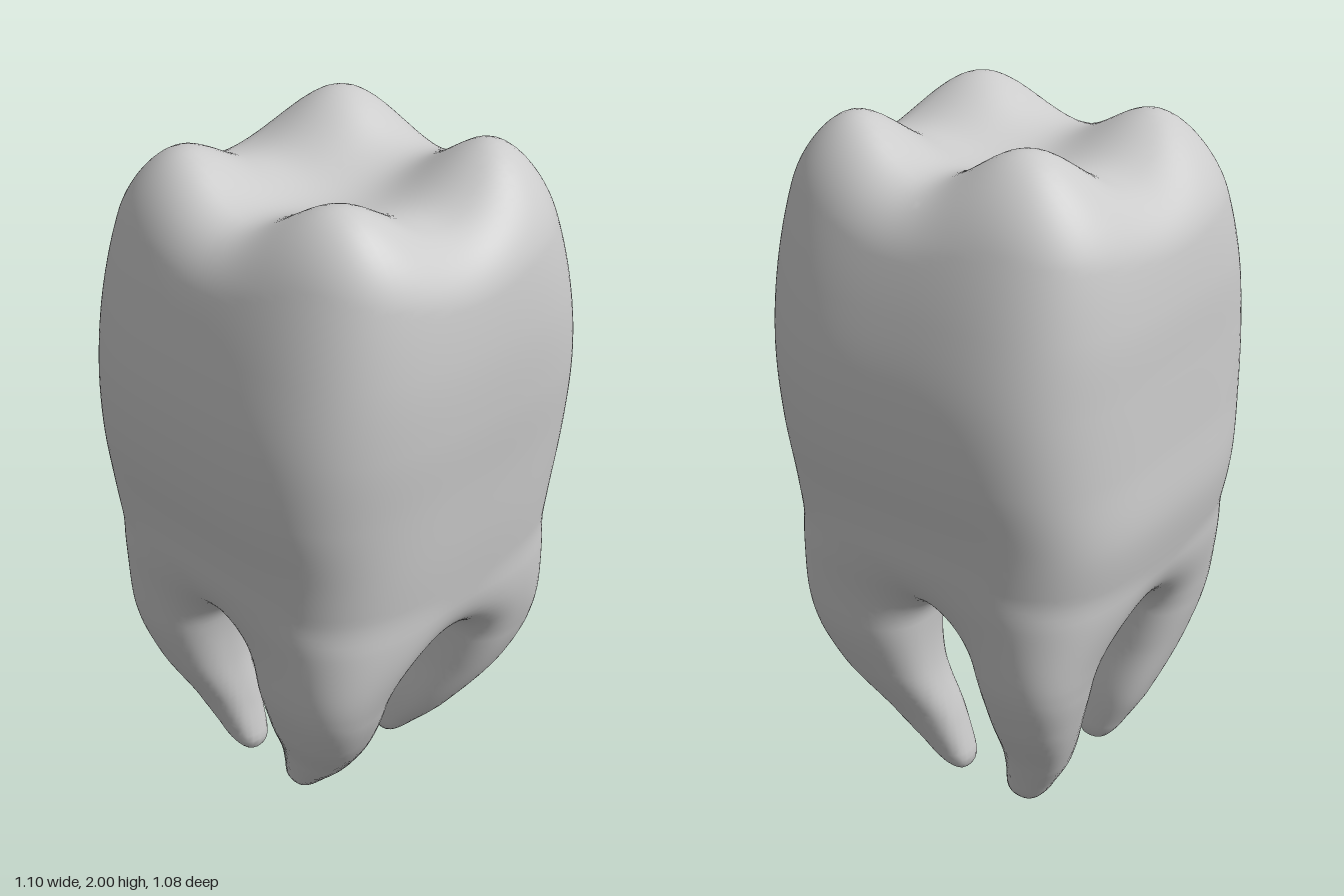
import * as THREE from 'three';

// Smooth curve through values spaced evenly by `step` from `start`
function profile(start, step, v) {
  const at = i => v[Math.min(Math.max(i, 0), v.length - 1)];
  return y => {
    const s = Math.min(Math.max((y - start) / step, 0), v.length - 1);
    const i = Math.floor(s), t = s - i;
    const [a, b, c, d] = [at(i - 1), at(i), at(i + 1), at(i + 2)];
    return b + 0.5 * t * (c - a + t * (2 * a - 5 * b + 4 * c - d + t * (3 * (b - c) + d - a)));
  };
}

const smin = (a, b, k) => {
  const h = Math.max(k - Math.abs(a - b), 0);
  return Math.min(a, b) - h * h / (4 * k);
};
const smax = (a, b, k) => -smin(-a, -b, k);

// Signed, distance-like value of a rounded-square section
const section = (x, z, a, b, n) =>
  ((Math.abs(x / a) ** n + Math.abs(z / b) ** n) ** (1 / n) - 1) * (a + b) / 2;

// Crown half-widths, from y = 0.6 upward
const crownX = profile(0.6, 0.2, [0.465, 0.495, 0.515, 0.545, 0.545, 0.51, 0.453, 0.375, 0.24]);
const crownFront = profile(0.6, 0.2, [0.465, 0.488, 0.51, 0.525, 0.54, 0.54, 0.515, 0.46, 0.34]);
const crownBack = profile(0.6, 0.2, [0.465, 0.505, 0.54, 0.535, 0.53, 0.523, 0.49, 0.42, 0.3]);

// Four cusps: x, z, height
const cusps = [
  [0.265, 0.3, 0.19], [-0.285, 0.3, 0.17],
  [0.265, -0.24, 0.19], [-0.285, -0.26, 0.16],
];

// Inner and outer limits of the roots, from the tip upward
const rootXIn = profile(0, 0.2, [0.13, 0.125, 0.147, 0.13, 0.04, 0.03]);
const rootXOut = profile(0, 0.2, [0.23, 0.298, 0.4, 0.458, 0.425, 0.32]);
const frontIn = profile(0, 0.2, [0.0, 0.035, 0.072, 0.065, 0.03, 0.03]);
const frontOut = profile(0, 0.2, [0.09, 0.25, 0.38, 0.445, 0.42, 0.32]);
const backIn = profile(0, 0.2, [0.13, 0.155, 0.162, 0.135, 0.06, 0.03]);
const backOut = profile(0, 0.2, [0.24, 0.34, 0.41, 0.452, 0.43, 0.32]);

function crown(x, y, z) {
  let top = 1.812;
  for (const [cx, cz, h] of cusps) top += h * Math.exp(-((x - cx) ** 2 + (z - cz) ** 2) / 0.046);
  const side = section(x, z, crownX(y), z > 0 ? crownFront(y) : crownBack(y), z > 0 ? 3.6 : 3.8);
  const body = smax(side, y - top, 0.11);
  const underside = 0.71 - 0.4 * z * z;
  return smax(body, underside - y, 0.2);
}

function root(x, y, z, zIn, zOut) {
  const x0 = rootXIn(y), x1 = rootXOut(y), z0 = zIn(y), z1 = zOut(y);
  const d = section(Math.abs(x) - (x0 + x1) / 2, z - (z0 + z1) / 2, (x1 - x0) / 2, (z1 - z0) / 2, 2.5);
  return smax(smax(d, -y, 0.08), y - 1, 0.1);
}

function toothField(x, y, z) {
  const c = crown(x, y, z);
  if (y > 1.3) return c;
  const roots = smin(root(x, y, z, frontIn, frontOut), root(x, y, -z, backIn, backOut), 0.08);
  return smin(c, roots, 0.12);
}

// Skin the zero surface of a field with a smooth quad net
function skin(field, min, size, h) {
  const n = size.map(s => Math.ceil(s / h) + 1);
  const stride = [1, n[0], n[0] * n[1]];
  const values = new Float32Array(n[0] * n[1] * n[2]);
  const cell = new Int32Array(values.length).fill(-1);
  const eachNode = (end, visit) => {
    for (let k = 0; k < n[2] - end; k++)
      for (let j = 0; j < n[1] - end; j++)
        for (let i = 0; i < n[0] - end; i++) visit([i, j, k], i + j * stride[1] + k * stride[2]);
  };
  eachNode(0, (p, id) => { values[id] = field(...p.map((c, a) => min[a] + c * h)); });

  const gradient = p => {
    const e = 0.004;
    return [0, 1, 2].map(a => {
      const q = [...p], r = [...p];
      q[a] += e;
      r[a] -= e;
      return (field(...q) - field(...r)) / (2 * e);
    });
  };

  // One vertex per crossed cell, pulled onto the surface
  const positions = [], normals = [], index = [];
  eachNode(1, (p, id) => {
    let count = 0;
    const sum = [0, 0, 0];
    for (let a = 0; a < 3; a++) {
      const b = (a + 1) % 3, c = (a + 2) % 3;
      for (let m = 0; m < 4; m++) {
        const u = m & 1, w = m >> 1;
        const from = id + u * stride[b] + w * stride[c];
        const f0 = values[from], f1 = values[from + stride[a]];
        if ((f0 < 0) === (f1 < 0)) continue;
        sum[a] += f0 / (f0 - f1);
        sum[b] += u;
        sum[c] += w;
        count++;
      }
    }
    if (!count) return;
    let v = p.map((c, a) => min[a] + (c + sum[a] / count) * h);
    for (let pass = 0; pass < 2; pass++) {
      const g = gradient(v), f = field(...v);
      const len2 = Math.max(g[0] ** 2 + g[1] ** 2 + g[2] ** 2, 0.1);
      const move = THREE.MathUtils.clamp(f / len2, -h / 2, h / 2);
      v = v.map((c, a) => c - g[a] * move);
    }
    cell[id] = positions.length / 3;
    positions.push(...v);
    normals.push(...new THREE.Vector3(...gradient(v)).normalize().toArray());
  });

  // One quad around each crossed grid edge
  eachNode(1, (p, id) => {
    for (let a = 0; a < 3; a++) {
      const b = (a + 1) % 3, c = (a + 2) % 3;
      const inside = values[id] < 0;
      if (!p[b] || !p[c] || inside === (values[id + stride[a]] < 0)) continue;
      const q = [id, id - stride[b], id - stride[b] - stride[c], id - stride[c]].map(i => cell[i]);
      if (!inside) q.reverse();
      index.push(q[0], q[1], q[2], q[0], q[2], q[3]);
    }
  });

  const geometry = new THREE.BufferGeometry();
  geometry.setAttribute('position', new THREE.Float32BufferAttribute(positions, 3));
  geometry.setAttribute('normal', new THREE.Float32BufferAttribute(normals, 3));
  geometry.setIndex(index);
  return geometry;
}

export function createModel() {
  const group = new THREE.Group();
  group.name = 'molarTooth';

  // Crown and four roots in one continuous skin
  const geometry = skin(toothField, [-0.64, -0.06, -0.64], [1.28, 2.16, 1.28], 0.022);

  // Centre it and stand it on the ground
  geometry.computeBoundingBox();
  const { min, max } = geometry.boundingBox;
  geometry.translate(-(min.x + max.x) / 2, -min.y, -(min.z + max.z) / 2);

  const tooth = new THREE.Mesh(geometry, new THREE.MeshStandardMaterial({ color: 0xcccccc }));
  tooth.name = 'crownAndRoots';
  group.add(tooth);
  return group;
}
